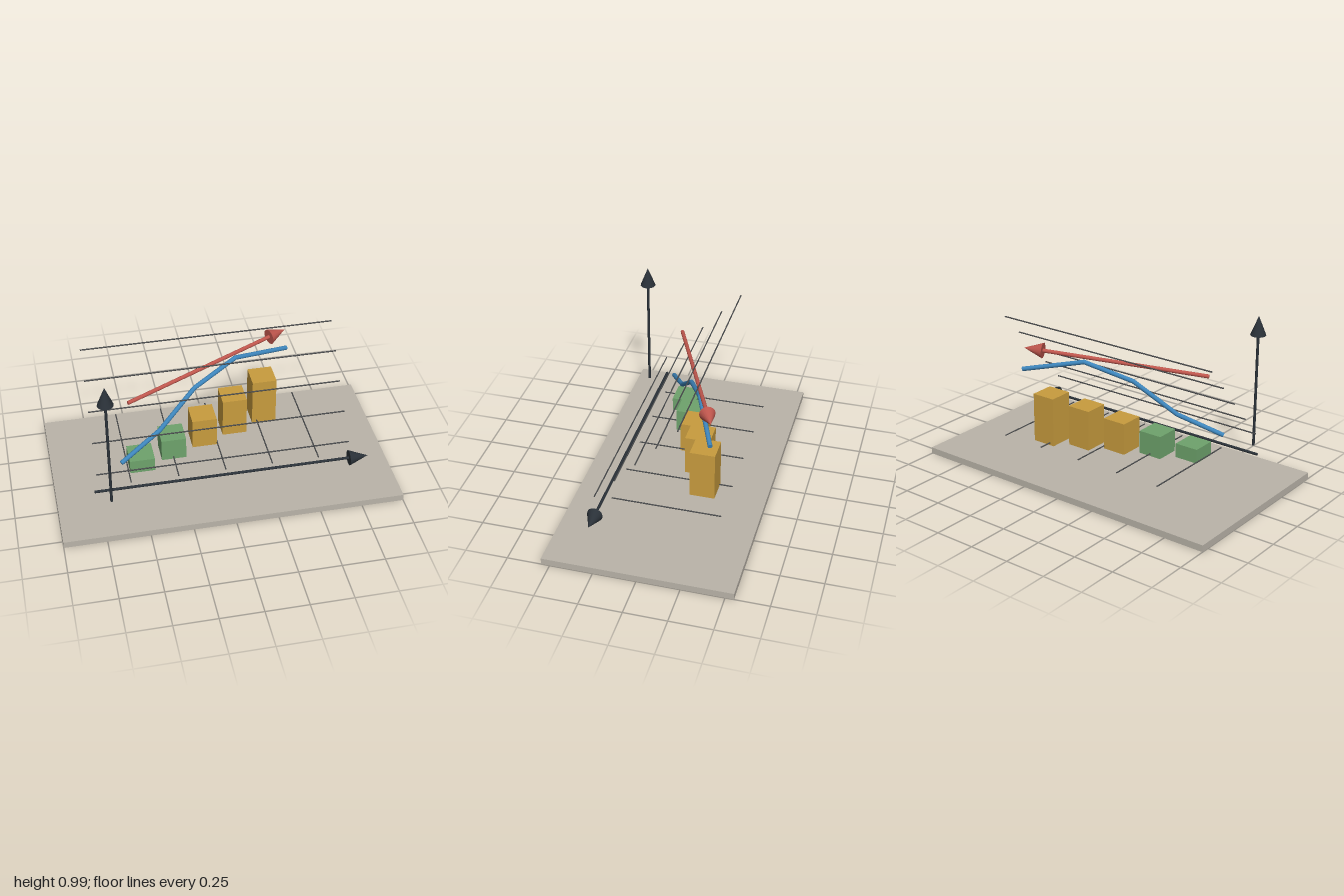
import * as THREE from 'three';

const mat = (name, color) => Object.assign(new THREE.MeshStandardMaterial({ color }), { name });
const v = (x, y, z) => new THREE.Vector3(x, y, z);
const UP = v(0, 1, 0);

export function createModel() {
  const stone = mat('warm grey', 0xbab4a9);
  const dark = mat('charcoal', 0x2a3138);
  const gridGrey = mat('grid grey', 0x4b4d4f);
  const green = mat('bar green', 0x6ea36c);
  const gold = mat('bar gold', 0xc89c3e);
  const blue = mat('line blue', 0x3d85bb);
  const red = mat('trend red', 0xbf564d);

  const model = new THREE.Group();
  model.name = 'barChart';

  const add = (parent, name, geometry, material, position) => {
    const mesh = new THREE.Mesh(geometry, material);
    mesh.name = name;
    mesh.position.copy(position);
    parent.add(mesh);
    return mesh;
  };

  // Rod (or cone, when the top radius is 0) running from a to b
  const rod = (parent, name, a, b, radius, material, topRadius = radius, sides = 16) => {
    const geometry = new THREE.CylinderGeometry(topRadius, radius, a.distanceTo(b), sides);
    const mesh = add(parent, name, geometry, material, a.clone().lerp(b, 0.5));
    mesh.quaternion.setFromUnitVectors(UP, b.clone().sub(a).normalize());
  };

  const arrow = (name, a, tip, radius, material) => {
    const group = new THREE.Group();
    group.name = name;
    model.add(group);
    const neck = tip.clone().add(a.clone().sub(tip).setLength(0.115));
    rod(group, 'shaft', a, neck, radius, material);
    rod(group, 'head', neck, tip, 0.046, material, 0);
  };

  // Base slab
  add(model, 'base', new THREE.BoxGeometry(2, 0.04, 1.1), stone, v(0, 0.02, 0));

  // Axes and trend arrow
  arrow('verticalAxis', v(-0.7, 0.182, 0.415), v(-0.7, 0.985, 0.415), 0.008, dark);
  arrow('horizontalAxis', v(-0.785, 0.182, 0.32), v(0.838, 0.182, 0.32), 0.008, dark);
  arrow('trendArrow', v(-0.548, 0.662, 0.153), v(0.463, 0.733, -0.277), 0.0115, red);

  // Slanting rows of level lines and floor lines
  for (let i = 0; i < 5; i++) {
    const y = 0.308 + i * 0.133, z = 0.32 - i * 0.12, x = -0.567 + i * 0.2795;
    rod(model, 'levelLine', v(-0.77, y, z), v(0.715, y, z), 0.004, gridGrey, 0.004, 6);
    rod(model, 'floorLine', v(x, 0.18, 0.275), v(x, 0.18, -0.367), 0.004, gridGrey, 0.004, 6);
  }

  // Bars stepping up and back
  for (let i = 0; i < 5; i++) {
    const height = 0.086 + i * 0.0532;
    add(model, 'bar', new THREE.BoxGeometry(0.147, height, 0.147), i < 2 ? green : gold,
      v(-0.484 + i * 0.2, 0.165 + height / 2, 0.106 - i * 0.08));
  }

  // Line graph with rounded joints
  const line = new THREE.Group();
  line.name = 'lineGraph';
  model.add(line);
  const points = [
    v(-0.612, 0.29, 0.225), v(-0.366, 0.397, 0.105), v(-0.136, 0.584, -0.013),
    v(0.131, 0.677, -0.132), v(0.478, 0.597, -0.28),
  ];
  points.slice(1).forEach((p, i) => {
    rod(line, 'lineSegment', points[i], p, 0.0135, blue);
    if (i < 3) add(line, 'lineJoint', new THREE.SphereGeometry(0.0135, 16, 10), blue, p);
  });

  return model;
}
